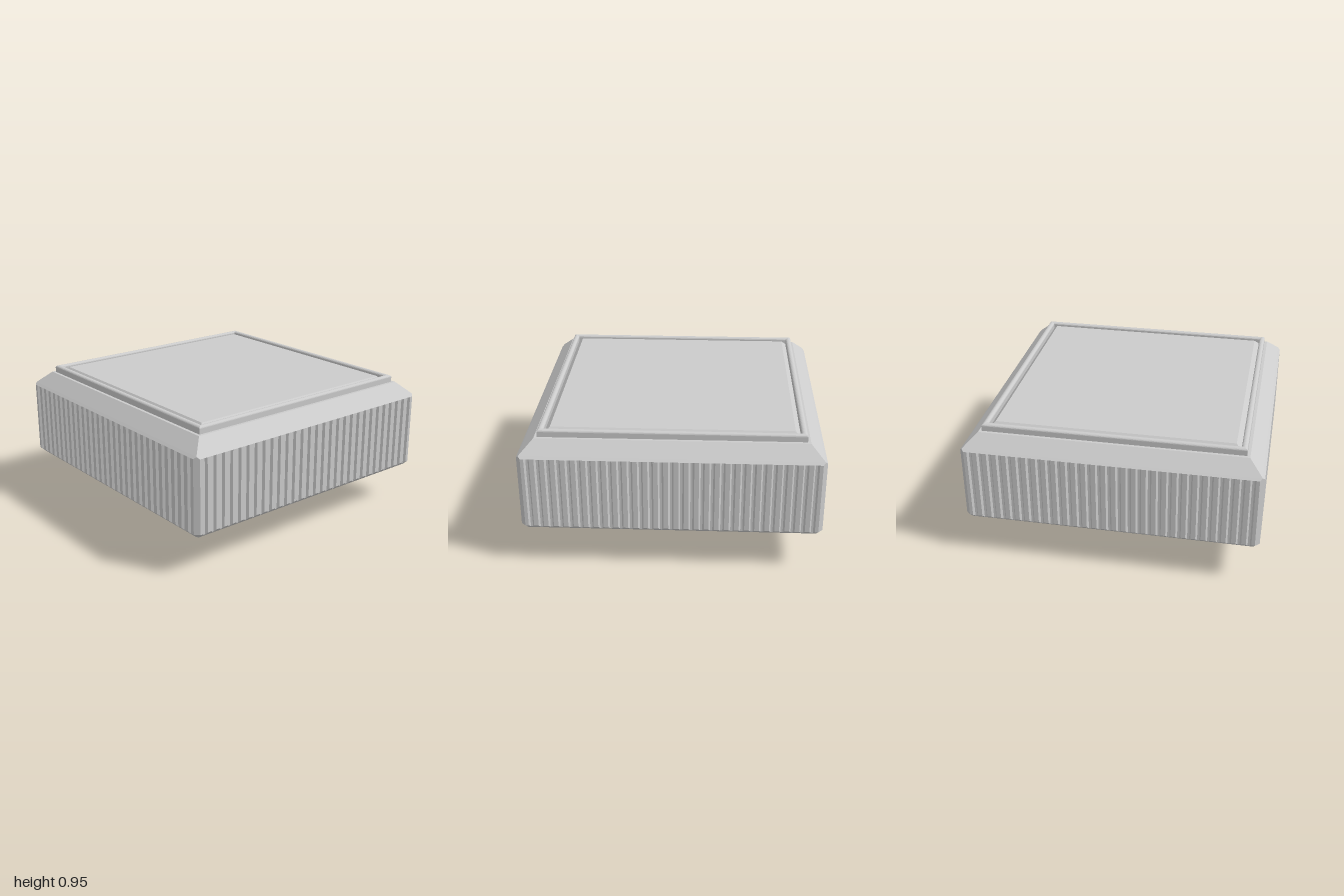
import * as THREE from 'three';
import { toCreasedNormals } from 'three/addons/utils/BufferGeometryUtils.js';

const CORNER = 0.03;
const BORE = { x: 0, z: 0, r: 0.175, depth: 0.55 };
const PIN = { x: 0.25, z: -0.25, r: 0.05, depth: 0.4 };

// Repeats one side's [x, y, z] points around all four sides of a square
function fourSides(side) {
  const ring = [];
  for (let k = 0; k < 4; k++) {
    for (const p of side) {
      let [x, y, z] = p;
      for (let i = 0; i < k; i++) [x, z] = [z, -x];
      ring.push([x, y, z]);
    }
  }
  return ring;
}

// Plain square ring with half width h, height y and corner cut c
const squareRing = ([h, y, c = 0]) => fourSides([[-(h - c), y, h], [h - c, y, h]]);

// Skins consecutive rings, listed from bottom outward and up
function loft(rings) {
  const n = rings[0].length;
  const index = [];
  for (let r = 0; r < rings.length - 1; r++) {
    for (let i = 0; i < n; i++) {
      const a = r * n + i, b = r * n + (i + 1) % n;
      index.push(a, b, b + n, a, b + n, a + n);
    }
  }
  const geo = new THREE.BufferGeometry();
  geo.setAttribute('position', new THREE.Float32BufferAttribute(rings.flat(2), 3));
  geo.setIndex(index);
  const flat = geo.toNonIndexed();
  flat.computeVertexNormals();
  return flat;
}

function lathe(points, segments) {
  const geo = new THREE.LatheGeometry(points.map(([x, y]) => new THREE.Vector2(x, y)), segments);
  return toCreasedNormals(geo, 0.5);
}

// Flat face looking down, with round holes
function underside(shape, holes, y) {
  for (const h of holes) {
    shape.holes.push(new THREE.Path().absarc(h.x, h.z, h.r, 0, Math.PI * 2, true));
  }
  return new THREE.ShapeGeometry(shape, 32).rotateX(Math.PI / 2).translate(0, y, 0);
}

// Wall with vertical grooves, chamfered along its lower edge
function knurledWall() {
  const count = 29, pitch = 0.0664, depth = 0.015;
  const side = [[-(1 - CORNER), 0]];
  for (let i = 0; i < count; i++) {
    const x = (i - (count - 1) / 2) * pitch;
    side.push([x - 0.018, 0], [x - 0.007, depth], [x + 0.007, depth], [x + 0.018, 0]);
  }
  side.push([1 - CORNER, 0]);
  const edge = 0.958;
  return loft([
    fourSides(side.map(([x]) => [THREE.MathUtils.clamp(x, -edge, edge), 0.27, 0.97])),
    fourSides(side.map(([x, d]) => [x, 0.3 - d, 1 - d])),
    fourSides(side.map(([x, d]) => [x, 0.8, 1 - d])),
    fourSides(side.map(([x]) => [x, 0.8, 1])),
  ]);
}

export function createModel() {
  const group = new THREE.Group();
  const material = new THREE.MeshStandardMaterial({ color: 0xcccccc });
  const add = (name, geometry) => {
    const mesh = new THREE.Mesh(geometry, material);
    mesh.name = name;
    group.add(mesh);
  };

  // Square body
  add('knurledWall', knurledWall());
  const base = new THREE.Shape(squareRing([0.97, 0, 0.012]).map(([x, , z]) => new THREE.Vector2(x, z)));
  add('bodyUnderside', underside(base, [{ x: 0, z: 0, r: 0.525 }], 0.27));
  add('topBevel', loft([[1, 0.8, CORNER], [0.985, 0.815], [0.895, 0.9], [0.875, 0.9]].map(squareRing)));

  // Rounded rim around the top
  const rim = [[0.875, 0.9]];
  for (let i = 0; i <= 10; i++) {
    const t = (i / 10) * Math.PI;
    rim.push([0.855 + 0.02 * Math.cos(t), 0.935 + 0.015 * Math.sin(t)]);
  }
  rim.push([0.835, 0.905]);
  add('rim', loft(rim.map((p) => squareRing(p))));

  // Bevelled panel inside the rim
  add('topPanel', loft([[0.835, 0.905], [0.8, 0.94], [0, 0.94]].map((p) => squareRing(p))));

  // Round hub with a shaft bore and a small pin hole
  add('hubWall', lathe([[0.495, 0], [0.525, 0.03], [0.525, 0.27]], 64));
  const hubFace = new THREE.Shape().absarc(0, 0, 0.495, 0, Math.PI * 2, false);
  add('hubFace', underside(hubFace, [BORE, PIN], 0));
  for (const [name, h] of [['shaftBore', BORE], ['pinHole', PIN]]) {
    add(name, lathe([[0, h.depth], [h.r, h.depth], [h.r, 0]], 32).translate(h.x, 0, h.z));
  }
  return group;
}
